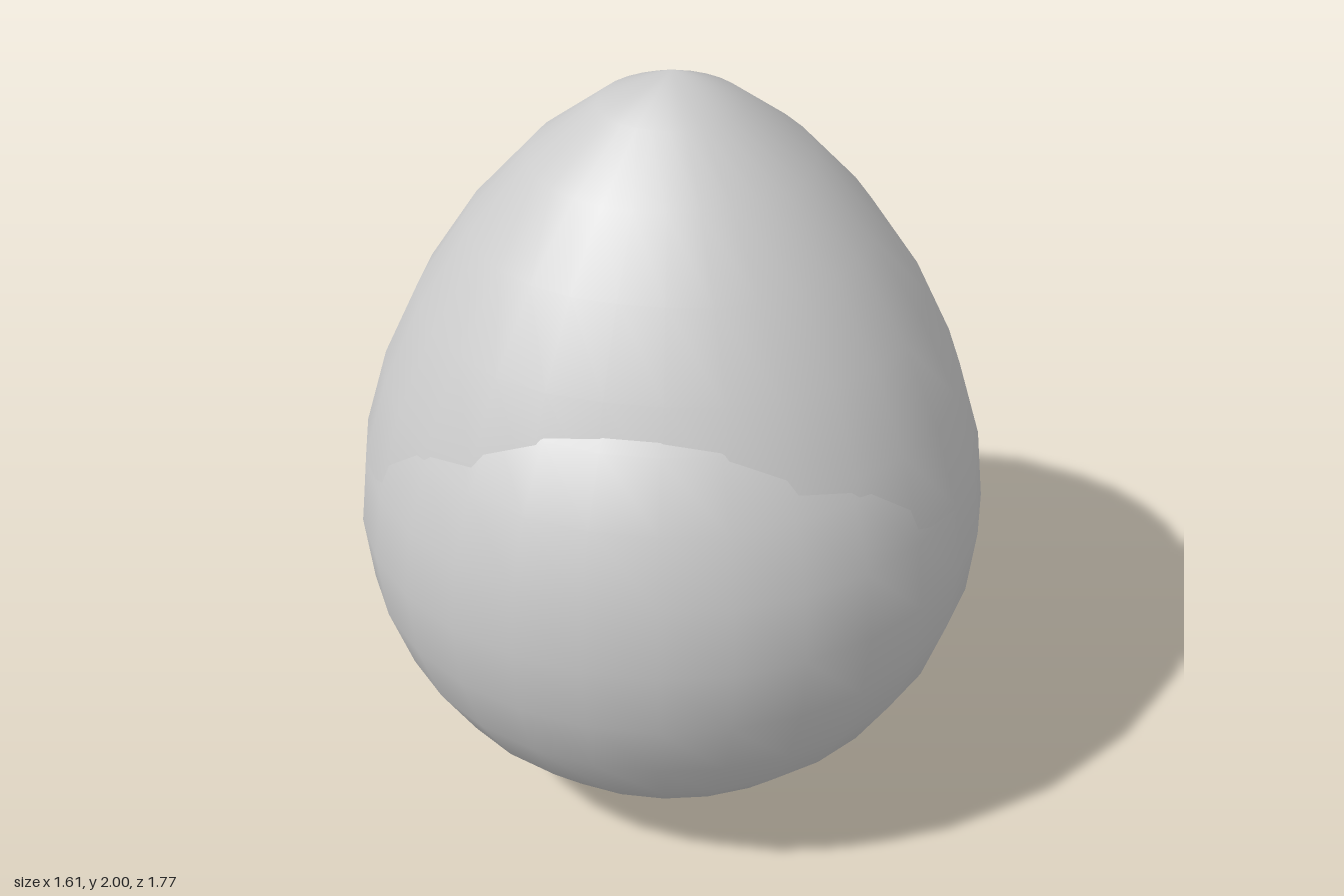
import * as THREE from 'three';
import { mergeVertices } from 'three/addons/utils/BufferGeometryUtils.js';

const R = 0.81;
const SIDES = 28, RINGS = 14;

// Plain ball with its vertices welded so that the shading has no seam
function ball(radius) {
  const g = new THREE.SphereGeometry(radius, SIDES, RINGS);
  g.rotateY(Math.PI / SIDES);
  g.deleteAttribute('uv');
  g.deleteAttribute('normal');
  return mergeVertices(g, 1e-4);
}

// Ball drawn out to a peak on top and a ridge at the back, slightly flattened in front
function hoodGeometry() {
  const g = ball(R);
  const p = g.attributes.position;
  const half = Math.PI / 2;
  for (let i = 0; i < p.count; i++) {
    const x = p.getX(i), y = p.getY(i), z = p.getZ(i);
    const flat = Math.hypot(x, z);
    const lat = Math.atan2(y, flat) / half;                // -1 bottom, 1 top
    const turn = flat < 1e-5 ? 0 : Math.atan2(z, Math.abs(x)) / half; // -1 back, 1 front
    const depth = turn < 0 ? 1 - 0.21 * turn * (1 - Math.abs(lat)) : 1 - 0.1 * turn;
    p.setXYZ(i, x, y * (1 + 0.47 * Math.max(lat, 0)), z * depth);
  }
  return g;
}

export function createModel() {
  const group = new THREE.Group();
  const material = new THREE.MeshStandardMaterial({ color: 0xcccccc });

  const add = (name, geometry) => {
    geometry.computeVertexNormals();
    const mesh = new THREE.Mesh(geometry, material);
    mesh.name = name;
    mesh.position.set(0, R, 0.085);
    group.add(mesh);
  };

  add('roundBody', ball(R - 0.001));
  add('pointedHood', hoodGeometry());
  return group;
}
